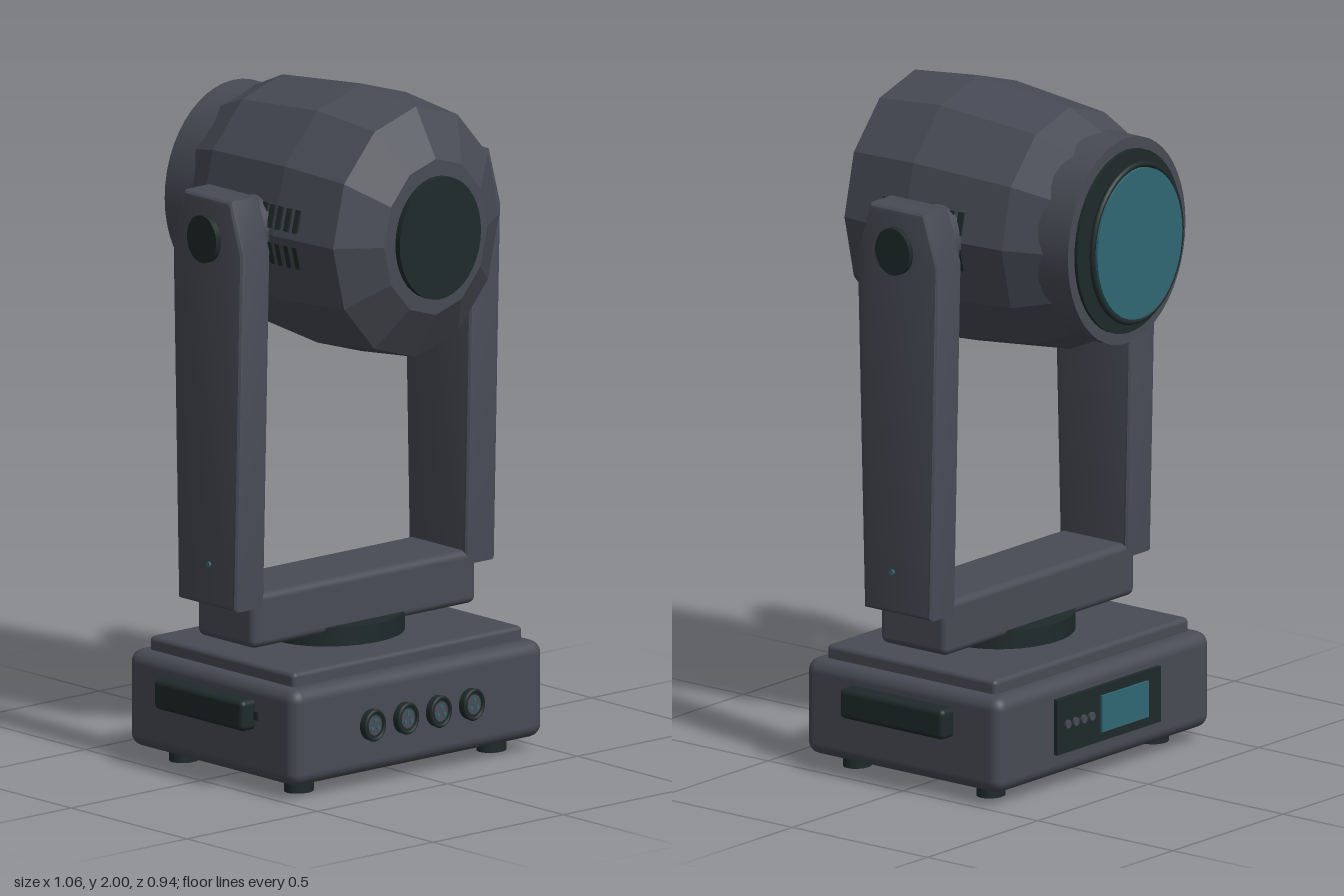
import * as THREE from 'three';
import { RoundedBoxGeometry } from 'three/addons/geometries/RoundedBoxGeometry.js';
import { toCreasedNormals } from 'three/addons/utils/BufferGeometryUtils.js';

const mat = (name, color) => Object.assign(new THREE.MeshStandardMaterial({ color }), { name });

export function createModel() {
  const body = mat('body grey', 0x484b55);
  const dark = mat('dark trim', 0x1f2a2a);
  const teal = mat('teal glass', 0x306875);

  const model = new THREE.Group();
  model.name = 'movingHeadLight';

  const add = (parent, name, geometry, material, x = 0, y = 0, z = 0) => {
    const mesh = new THREE.Mesh(geometry, material);
    mesh.name = name;
    mesh.position.set(x, y, z);
    parent.add(mesh);
    return mesh;
  };
  const rounded = (w, h, d, r) => new RoundedBoxGeometry(w, h, d, 3, r);
  // Slightly oval discs, lying along each axis
  const discY = (rx, rz, h, n = 32) => new THREE.CylinderGeometry(1, 1, h, n).scale(rx, 1, rz);
  const discZ = (rx, ry, h, n = 32) => new THREE.CylinderGeometry(1, 1, h, n).rotateX(Math.PI / 2).scale(rx, ry, 1);
  const discX = (rz, ry, h, n = 32) => new THREE.CylinderGeometry(1, 1, h, n).rotateZ(Math.PI / 2).scale(1, ry, rz);

  // ---- Base ----
  const base = new THREE.Group();
  base.name = 'base';
  model.add(base);
  const cz = 0.02;
  add(base, 'baseBody', rounded(0.965, 0.285, 0.725, 0.038), body, 0, 0.1825, cz);
  add(base, 'basePlate', rounded(0.88, 0.07, 0.625, 0.014), body, 0, 0.33, cz);
  add(base, 'swivel', discY(0.21, 0.182, 0.07, 40), dark, 0, 0.385, cz);
  for (const s of [-1, 1]) {
    add(base, 'sideHandle', rounded(0.07, 0.09, 0.385, 0.016), dark, s * 0.497, 0.23, cz);
    add(base, 'handleStud', new THREE.BoxGeometry(0.02, 0.025, 0.02), dark, s * 0.478, 0.228, 0.22);
    for (const z of [0.275, -0.22]) add(base, 'foot', discY(0.045, 0.04, 0.05, 20), dark, s * 0.37, 0.025, z);
  }

  // Front sockets with a raised rim and pins
  for (const x of [-0.19, -0.063, 0.063, 0.19]) {
    const socket = new THREE.Group();
    socket.name = 'socket';
    socket.position.set(x, 0.185, 0.385);
    add(socket, 'socketBody', discZ(0.041, 0.046, 0.03, 24), dark);
    add(socket, 'socketRim', new THREE.TorusGeometry(0.04, 0.006, 6, 24).scale(0.9, 1.04, 1), dark, 0, 0, 0.016);
    add(socket, 'socketFace', discZ(0.025, 0.029, 0.006, 20), body, 0, 0, 0.015);
    for (let i = 0; i < 3; i++) {
      const a = Math.PI / 2 + (i * Math.PI * 2) / 3;
      add(socket, 'socketPin', discZ(0.0055, 0.006, 0.008, 8), teal, 0.014 * Math.cos(a), 0.016 * Math.sin(a), 0.017);
    }
    base.add(socket);
  }

  // Rear control panel
  add(base, 'controlPanel', new THREE.BoxGeometry(0.47, 0.165, 0.02), dark, 0, 0.1925, -0.345);
  add(base, 'displayScreen', new THREE.BoxGeometry(0.21, 0.108, 0.009), teal, -0.065, 0.1925, -0.358);
  for (let i = 0; i < 4; i++) {
    add(base, 'controlButton', discZ(0.012, 0.013, 0.01, 12), body, 0.19 - i * 0.036, 0.195, -0.357);
  }

  // ---- Yoke ----
  const yoke = new THREE.Group();
  yoke.name = 'yoke';
  model.add(yoke);
  add(yoke, 'crossbar', rounded(0.86, 0.16, 0.248, 0.022), body, 0, 0.48, 0.022);

  const armShape = new THREE.Shape([
    [0.148, 0.52], [0.175, 1.575], [0.125, 1.73], [-0.078, 1.73], [-0.128, 1.575], [-0.104, 0.52],
  ].map(([z, y]) => new THREE.Vector2(z, y)));
  const bevel = 0.016;
  const armGeo = toCreasedNormals(new THREE.ExtrudeGeometry(armShape, {
    depth: 0.116 - 2 * bevel, bevelThickness: bevel, bevelSize: bevel, bevelOffset: -bevel, bevelSegments: 3,
  }).translate(0, 0, bevel - 0.058).rotateY(-Math.PI / 2), 0.5);
  for (const s of [-1, 1]) {
    add(yoke, 'arm', armGeo, body, s * 0.443, 0, 0);
    add(yoke, 'pivotHub', discX(0.089, 0.097, 0.12), body, s * 0.35, 1.605, 0.02);
    add(yoke, 'pivotCap', discX(0.063, 0.07, 0.03), dark, s * 0.505, 1.605, 0.024);
    add(yoke, 'statusLight', discX(0.008, 0.008, 0.02, 10), teal, s * 0.498, 0.645, 0.037);
  }

  // ---- Head ----
  const head = new THREE.Group();
  head.name = 'head';
  head.position.y = 1.605;
  model.add(head);
  const OVAL = 0.862;

  // Twelve-sided faceted shell turned around z: [radius, z]
  const profile = [[0, -0.36], [0.29, -0.36], [0.305, -0.335], [0.36, -0.21], [0.395, 0.13], [0.37, 0.365], [0.23, 0.45], [0, 0.455]];
  const shell = new THREE.LatheGeometry(profile.map(([r, z]) => new THREE.Vector2(r, z)), 12)
    .rotateX(Math.PI / 2).scale(OVAL, 1, 1).toNonIndexed();
  shell.computeVertexNormals();
  add(head, 'headShell', shell, body);
  add(head, 'frontCap', discZ(0.156, 0.18, 0.03, 40), dark, 0, 0, 0.455);

  // Rear collar, trim and lens
  add(head, 'lensCollar', discZ(0.266, 0.306, 0.12, 48), body, 0, 0, -0.36);
  add(head, 'collarTrim', discZ(0.237, 0.272, 0.02, 48), dark, 0, 0, -0.42);
  add(head, 'lensRing', new THREE.TorusGeometry(0.232, 0.009, 8, 48).scale(OVAL, 1, 1), dark, 0, 0, -0.457);
  add(head, 'lens', discZ(0.192, 0.223, 0.014, 48), teal, 0, 0, -0.462);

  // Cooling slots along both flanks, in two rows
  const radiusAt = (z) => (z > 0.13 ? 0.395 - (z - 0.13) * 0.106 : 0.395 - (0.13 - z) * 0.103);
  const slotGeo = new THREE.BoxGeometry(0.012, 0.068, 0.019);
  for (const s of [-1, 1]) {
    for (const row of [-1, 1]) {
      for (let i = 0; i < 9; i++) {
        const z = 0.213 - i * 0.034;
        const x = radiusAt(z) * OVAL - 0.053 * 0.231;
        const slot = add(head, 'coolingSlot', slotGeo, dark, s * x, row * 0.053, z);
        slot.rotation.z = s * row * 0.227;
      }
    }
  }
  return model;
}
